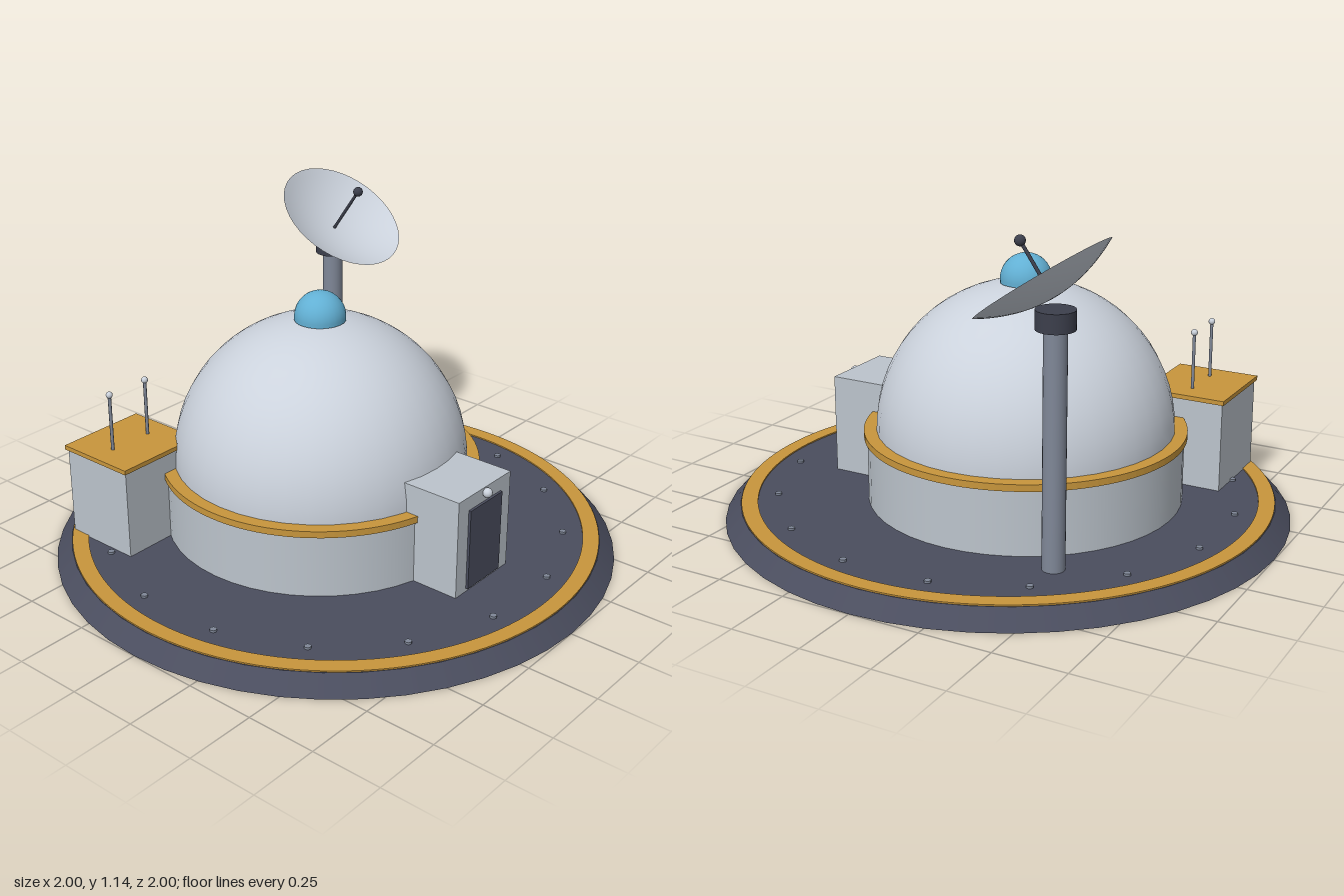
import * as THREE from 'three';

const mat = (name, color, side = THREE.FrontSide) => {
  const m = new THREE.MeshStandardMaterial({ color, side });
  m.name = name;
  return m;
};

export function createModel() {
  const shell = mat('shell grey', 0xcbd2dc);
  const dishShell = mat('dish grey', 0xcbd2dc, THREE.DoubleSide);
  const wall = mat('wall grey', 0xbcc4cc);
  const slate = mat('slate', 0x4a4d5e);
  const dark = mat('dark metal', 0x3c3f4c);
  const gold = mat('gold trim', 0xc8963c);
  const steel = mat('steel', 0x808898);
  const blue = mat('blue glass', 0x62b0d4);

  const model = new THREE.Group();
  model.name = 'domeStation';
  const add = (name, geometry, material, x = 0, y = 0, z = 0, parent = model) => {
    const mesh = new THREE.Mesh(geometry, material);
    mesh.name = name;
    mesh.position.set(x, y, z);
    parent.add(mesh);
    return mesh;
  };
  const cyl = (rTop, rBottom, h, n = 24) => new THREE.CylinderGeometry(rTop, rBottom, h, n);
  const ball = (r) => new THREE.SphereGeometry(r, 16, 10);
  // closed ring of rectangular section, with every edge kept sharp
  const ring = (inner, outer, h, n) => {
    const shape = new THREE.Shape().absarc(0, 0, outer, 0, Math.PI * 2);
    shape.holes.push(new THREE.Path().absarc(0, 0, inner, 0, Math.PI * 2, true));
    return new THREE.ExtrudeGeometry(shape, { depth: h, bevelEnabled: false, curveSegments: n })
      .rotateX(-Math.PI / 2);
  };

  // landing pad with painted ring and bolts
  add('pad', cyl(0.945, 1, 0.06, 48), slate, 0, 0.03, 0);
  add('padRing', ring(0.885, 0.942, 0.007, 64), gold, 0, 0.058, 0);
  for (let i = 0; i < 16; i++) {
    const a = (i + 0.5) * Math.PI / 8;
    add('bolt', cyl(0.012, 0.012, 0.012, 8), steel, Math.cos(a) * 0.815, 0.062, Math.sin(a) * 0.815);
  }

  // dome on its drum
  const dz = -0.07;
  add('drum', cyl(0.555, 0.555, 0.24, 48), wall, 0, 0.175, dz);
  add('drumTrim', ring(0.5, 0.566, 0.024, 48), gold, 0, 0.288, dz);
  add('dome', new THREE.SphereGeometry(0.522, 40, 16, 0, Math.PI * 2, 0, Math.PI / 2), shell, 0, 0.311, dz);
  add('beacon', new THREE.SphereGeometry(0.09, 24, 10, 0, Math.PI * 2, 0, Math.PI / 2), blue, 0, 0.84, dz);
  add('beaconBase', cyl(0.09, 0.09, 0.012), blue, 0, 0.834, dz);

  // entrance porch
  add('porch', new THREE.BoxGeometry(0.294, 0.36, 0.3), wall, 0, 0.238, 0.49);
  add('door', new THREE.BoxGeometry(0.18, 0.295, 0.009), slate, 0, 0.22, 0.6445);
  add('doorLamp', ball(0.017), shell, 0, 0.4, 0.65);

  // equipment hut with two aerials
  add('hut', new THREE.BoxGeometry(0.32, 0.33, 0.29), wall, -0.492, 0.222, -0.527);
  add('hutRoof', new THREE.BoxGeometry(0.338, 0.016, 0.305), gold, -0.492, 0.392, -0.527);
  for (const x of [-0.575, -0.41]) {
    add('aerial', cyl(0.006, 0.006, 0.21, 8), steel, x, 0.502, -0.527);
    add('aerialTip', ball(0.012), shell, x, 0.608, -0.527);
  }

  // mast
  add('mast', cyl(0.038, 0.038, 0.8), steel, 0.525, 0.455, -0.455);
  add('mastCollar', cyl(0.064, 0.064, 0.063), dark, 0.525, 0.878, -0.455);

  // tilted dish, its rim centred on the group origin and its axis along y
  const dish = new THREE.Group();
  dish.name = 'dish';
  dish.position.set(0.525, 0.998, -0.408);
  dish.rotation.x = THREE.MathUtils.degToRad(35);
  model.add(dish);
  const R = 0.242, depth = 0.068;
  const profile = [];
  for (let i = 0; i <= 10; i++) {
    const t = i / 10;
    profile.push(new THREE.Vector2(R * t, depth * (t * t - 1)));
  }
  add('reflector', new THREE.LatheGeometry(profile, 40), dishShell, 0, 0, 0, dish);
  add('feedRod', cyl(0.006, 0.006, 0.2, 8), dark, 0, 0.034, 0, dish);
  add('feedTip', ball(0.018), dark, 0, 0.132, 0, dish);

  return model;
}
